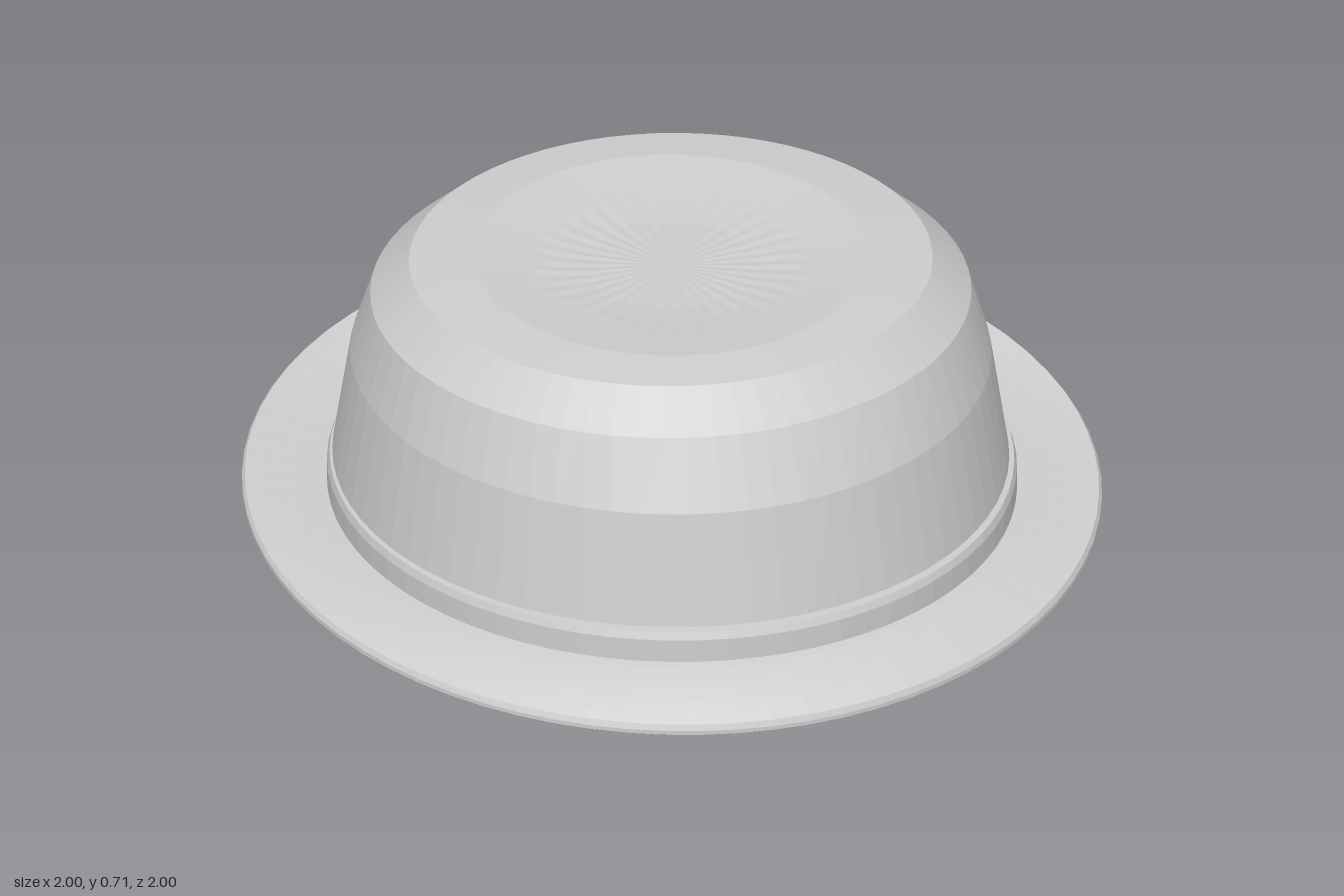
import * as THREE from 'three';

const SEG = 72;
const felt = new THREE.MeshStandardMaterial({ color: 0xcccccc });
felt.name = 'grey felt';

// Skin a list of rings; each ring is a function (angle, index) -> [x, y, z].
// Rings run up the outside, over the top and down the inside.
function loft(name, rings) {
  const pos = [], idx = [];
  rings.forEach(ring => {
    for (let i = 0; i < SEG; i++) pos.push(...ring(i / SEG * Math.PI * 2, i));
  });
  for (let r = 0; r < rings.length - 1; r++) {
    for (let i = 0; i < SEG; i++) {
      const a = r * SEG + i, b = r * SEG + (i + 1) % SEG;
      idx.push(a, b, b + SEG, a, b + SEG, a + SEG);
    }
  }
  const geo = new THREE.BufferGeometry();
  geo.setAttribute('position', new THREE.Float32BufferAttribute(pos, 3));
  geo.setIndex(idx);
  const faceted = geo.toNonIndexed();
  faceted.computeVertexNormals();
  const mesh = new THREE.Mesh(faceted, felt);
  mesh.name = name;
  return mesh;
}

// Elliptical ring, with an optional pleat height on every other vertex
const oval = (rx, rz, y, cz = -0.012, pleat = 0) => (a, i) =>
  [rx * Math.sin(a), y + (i % 2 ? pleat : -pleat), cz + rz * Math.cos(a)];

// Brim ring: flat at the crown, sloping down in front and up at the back
const brimRing = (t, lift) => a => {
  const s = Math.sin(a), c = Math.cos(a);
  const x = THREE.MathUtils.lerp(0.775, 1, t) * s;
  const z = THREE.MathUtils.lerp(-0.012, 0, t) + THREE.MathUtils.lerp(0.825, 1, t) * c;
  const rim = 0.105 - 0.09 * c;
  return [x, 0.103 + (rim - 0.103) * Math.pow(t, 1.7) + lift, z];
};

export function createModel() {
  const hat = new THREE.Group();
  hat.name = 'hat';

  // Crown outside, rising from the brim to the top edge
  hat.add(loft('crown', [
    oval(0.79, 0.835, 0.08), oval(0.785, 0.82, 0.19), oval(0.745, 0.765, 0.46),
    oval(0.7, 0.685, 0.62), oval(0.61, 0.59, 0.705)
  ]));

  // Shallow dished top with faint pleats round the centre
  hat.add(loft('crownTop', [
    oval(0.61, 0.59, 0.705), oval(0.46, 0.47, 0.717), oval(0.34, 0.34, 0.703),
    oval(0.27, 0.27, 0.696, -0.012, 0.001), oval(0.2, 0.2, 0.691, -0.012, 0.001),
    oval(0, 0, 0.69)
  ]));

  // Hollow inside of the crown
  hat.add(loft('crownLining', [
    oval(0, 0, 0.665), oval(0.58, 0.56, 0.675), oval(0.67, 0.655, 0.605),
    oval(0.715, 0.735, 0.455), oval(0.755, 0.79, 0.19), oval(0.755, 0.8, 0.08),
    oval(0.79, 0.835, 0.08)
  ]));

  // Raised band round the foot of the crown
  hat.add(loft('band', [
    oval(0.8, 0.84, 0.1, 0), oval(0.8, 0.838, 0.17, 0),
    oval(0.794, 0.83, 0.188, 0), oval(0.77, 0.8, 0.19, 0)
  ]));

  // Brim: underside outwards, rounded rim, upper side inwards
  const steps = [0, 0.12, 0.25, 0.4, 0.55, 0.7, 0.85, 0.97];
  hat.add(loft('brim', [
    ...steps.map(t => brimRing(t, -0.014)),
    brimRing(1, -0.006), brimRing(1, 0.004),
    ...steps.slice().reverse().map(t => brimRing(t, 0.014))
  ]));

  return hat;
}
